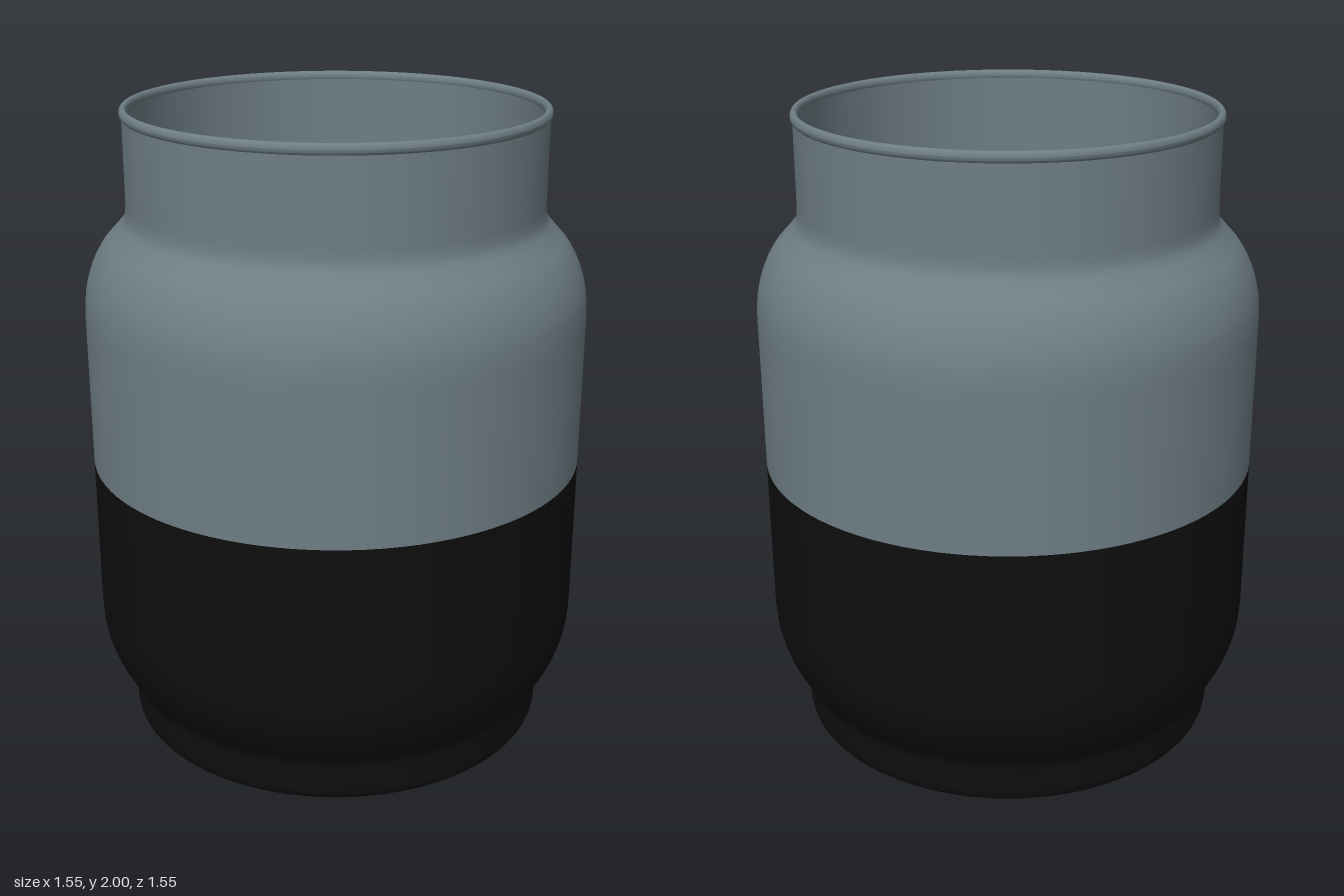
import * as THREE from 'three';

const SEGMENTS = 96;
const FILL = 0.9; // height where the dark lower half ends
const WALL = 0.015;

const glass = new THREE.MeshStandardMaterial({ color: 0x6e7e85 });
glass.name = 'slate glass';
const dark = new THREE.MeshStandardMaterial({ color: 0x0e0e0e });
dark.name = 'black';
const pale = new THREE.MeshStandardMaterial({ color: 0xe8e8e8 });
pale.name = 'pale white';

const pts = (list) => list.map(([r, y]) => new THREE.Vector2(r, y));
const smooth = (list, n) => new THREE.SplineCurve(pts(list)).getPoints(n);

function lathe(name, points, material) {
  const mesh = new THREE.Mesh(new THREE.LatheGeometry(points, SEGMENTS), material);
  mesh.name = name;
  return mesh;
}

export function createModel() {
  const jar = new THREE.Group();
  jar.name = 'jar';

  // Dark lower half: rounded foot, then a curve out to the straight body
  jar.add(lathe('lowerBody', [
    ...smooth([[0.63, 0], [0.655, 0.007], [0.669, 0.022], [0.674, 0.045]], 8),
    ...smooth([[0.674, 0.12], [0.677, 0.14], [0.69, 0.165], [0.726, 0.22],
      [0.752, 0.28], [0.768, 0.345], [0.773, 0.42]], 24),
    ...pts([[0.773, 0.46], [0.773, FILL]]),
  ], dark));

  // Underside
  const base = new THREE.Mesh(new THREE.CircleGeometry(0.632, SEGMENTS), dark);
  base.name = 'base';
  base.rotation.x = Math.PI / 2;
  jar.add(base);

  // Upper body, shoulder and neck
  const shoulder = smooth([[0.773, 1.38], [0.767, 1.45], [0.747, 1.52], [0.715, 1.58],
    [0.68, 1.62], [0.65, 1.655], [0.639, 1.68], [0.636, 1.71]], 28);
  const outer = [...pts([[0.773, FILL], [0.773, 1.34]]), ...shoulder,
    ...pts([[0.636, 1.75], [0.636, 1.985]])];
  jar.add(lathe('upperBody', outer, glass));

  // Inner wall, facing the axis
  const inner = outer.map((p) => new THREE.Vector2(p.x - WALL, p.y)).reverse();
  jar.add(lathe('innerWall', inner, glass));

  // Rounded lip
  const lip = [];
  for (let i = 0; i <= 16; i++) {
    const a = (i / 16) * Math.PI * 2;
    lip.push(new THREE.Vector2(0.631 + Math.cos(a) * 0.012, 1.983 + Math.sin(a) * 0.017));
  }
  jar.add(lathe('lip', lip, glass));

  // Contents filling the lower half
  const contents = new THREE.Mesh(new THREE.CircleGeometry(0.772, SEGMENTS), dark);
  contents.name = 'contentsSurface';
  contents.rotation.x = -Math.PI / 2;
  contents.position.y = FILL;
  jar.add(contents);

  // Small ball resting in the middle
  const ball = new THREE.Mesh(new THREE.SphereGeometry(0.08, 32, 20), pale);
  ball.name = 'ball';
  ball.position.y = FILL;
  jar.add(ball);

  return jar;
}
